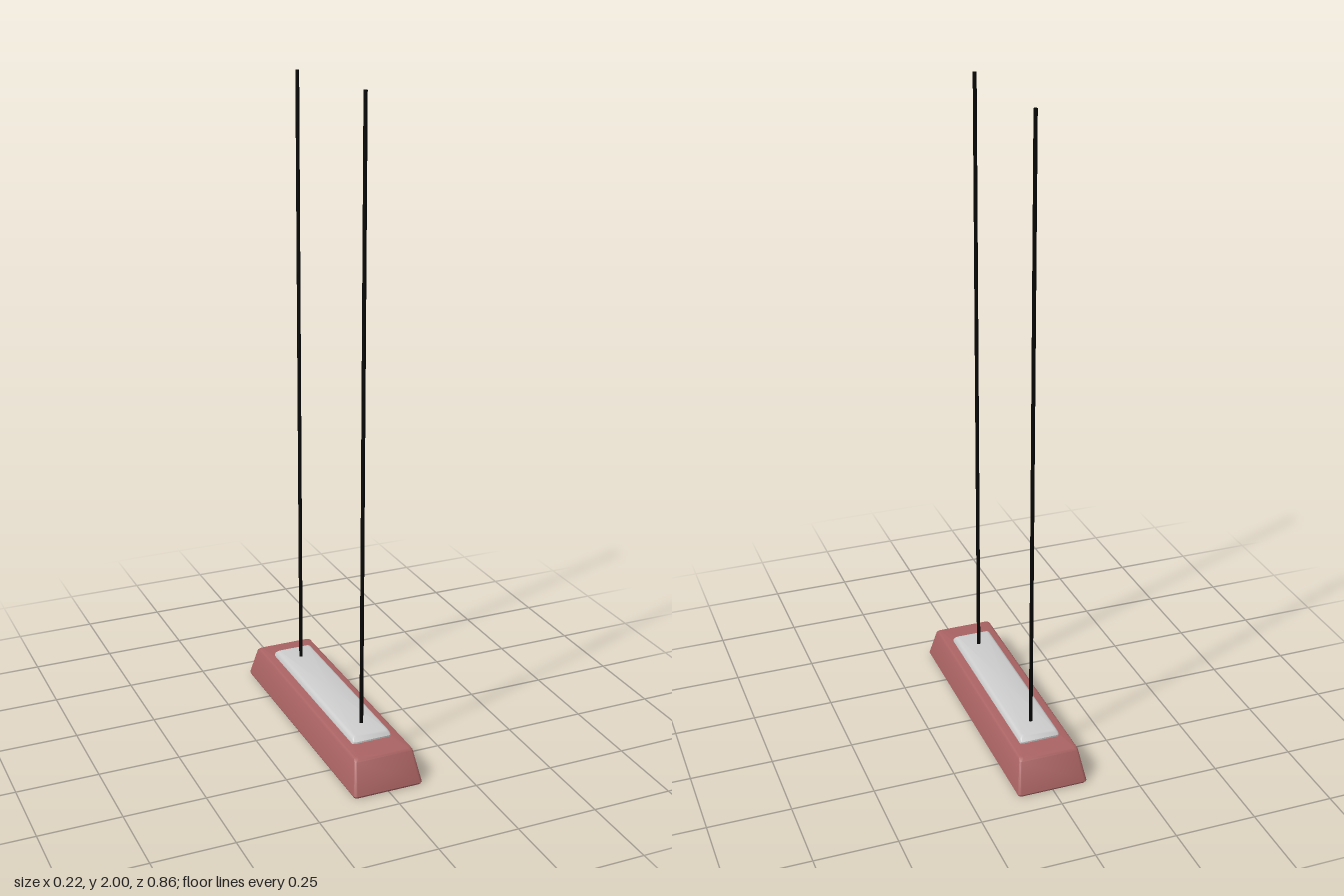
import * as THREE from 'three';
import { toCreasedNormals } from 'three/addons/utils/BufferGeometryUtils.js';

const red = new THREE.MeshStandardMaterial({ color: 0xa96262 });
const grey = new THREE.MeshStandardMaterial({ color: 0xcccccc });
const black = new THREE.MeshStandardMaterial({ color: 0x050505 });

// Skin over rounded rectangles; each ring is [half width, half length, y, corner radius]
function loft(rings, steps = 4) {
  const pos = [], index = [], n = 4 * (steps + 1);
  for (const [hx, hz, y, r] of rings) {
    for (let c = 0; c < 4; c++) {
      const sx = c === 0 || c === 3 ? 1 : -1, sz = c < 2 ? 1 : -1;
      for (let i = 0; i <= steps; i++) {
        const a = (c + i / steps) * Math.PI / 2;
        pos.push(sx * (hx - r) + r * Math.cos(a), y, sz * (hz - r) + r * Math.sin(a));
      }
    }
  }
  for (let k = 0; k < rings.length - 1; k++) {
    for (let i = 0; i < n; i++) {
      const a = k * n + i, b = k * n + (i + 1) % n;
      index.push(a, b, a + n, b, b + n, a + n);
    }
  }
  const g = new THREE.BufferGeometry();
  g.setAttribute('position', new THREE.Float32BufferAttribute(pos, 3));
  g.setIndex(index);
  return toCreasedNormals(g, 0.6);
}

export function createModel() {
  const model = new THREE.Group();
  model.name = 'pendantLamp';
  const add = (name, geometry, material, x = 0, y = 0, z = 0) => {
    const mesh = new THREE.Mesh(geometry, material);
    mesh.name = name;
    mesh.position.set(x, y, z);
    model.add(mesh);
    return mesh;
  };

  // Tapered shade: over the top, down the outside, round the rim, up the inside
  add('shade', loft([
    [0, 0, 0.107, 0],
    [0.084, 0.382, 0.107, 0.008],
    [0.09, 0.39, 0.105, 0.01],
    [0.094, 0.397, 0.099, 0.01],
    [0.109, 0.428, 0.012, 0.01],
    [0.11, 0.43, 0.006, 0.01],
    [0.107, 0.427, 0, 0.01],
    [0.09, 0.405, 0, 0.008],
    [0.088, 0.402, 0.004, 0.008],
    [0.08, 0.37, 0.065, 0.006],
    [0, 0, 0.065, 0],
  ]), red);

  // Raised cover on top of the shade
  add('topCover', loft([
    [0, 0, 0.127, 0],
    [0.05, 0.296, 0.127, 0.006],
    [0.056, 0.304, 0.125, 0.008],
    [0.061, 0.311, 0.119, 0.009],
    [0.063, 0.316, 0.112, 0.009],
    [0.063, 0.316, 0.1, 0.009],
  ]), grey, 0, 0, -0.005);

  // Reflector panel and light tube inside the shade
  add('reflector', new THREE.BoxGeometry(0.15, 0.008, 0.72), grey, 0, 0.062, 0);
  const tube = add('lightTube', new THREE.CylinderGeometry(0.013, 0.013, 0.7, 20), grey, 0, 0.042, 0);
  tube.rotation.x = Math.PI / 2;
  for (const s of [-1, 1]) {
    add('tubeHolder', new THREE.BoxGeometry(0.022, 0.03, 0.012), grey, 0, 0.048, s * 0.345);
  }

  // Two suspension rods
  for (const z of [0.232, -0.242]) {
    add('rod', new THREE.CylinderGeometry(0.006, 0.006, 1.88, 8), black, 0, 1.06, z);
  }
  return model;
}
